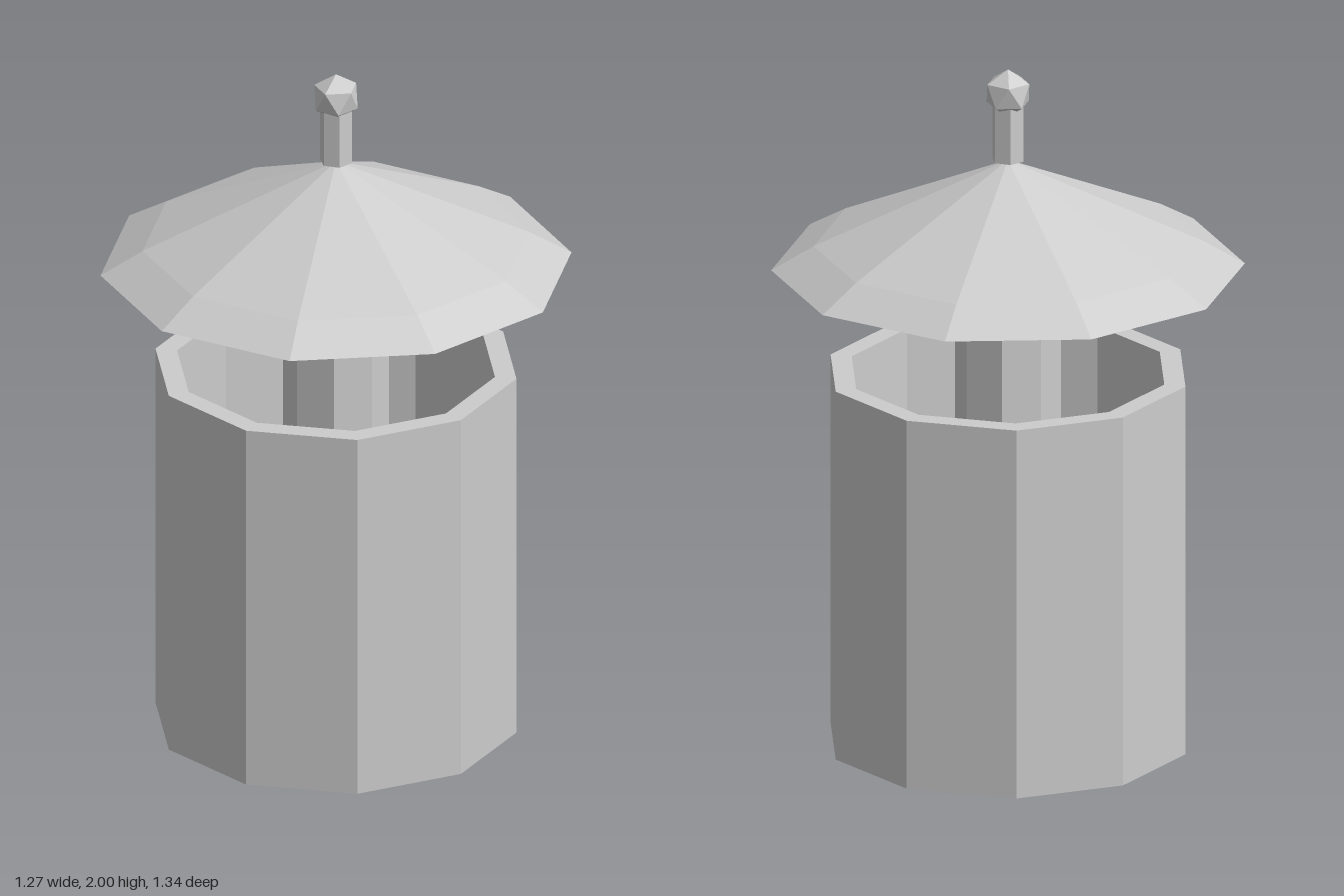
import * as THREE from 'three';

export function createModel() {
  const model = new THREE.Group();
  const grey = new THREE.MeshStandardMaterial({ color: 0xcccccc, flatShading: true });
  grey.name = 'light grey';

  const add = (name, geometry, y = 0) => {
    const mesh = new THREE.Mesh(geometry, grey);
    mesh.name = name;
    mesh.position.y = y;
    model.add(mesh);
  };
  // Faceted solid of revolution from [radius, height] pairs
  const turn = (profile, sides, start = 0) =>
    new THREE.LatheGeometry(profile.map(([r, y]) => new THREE.Vector2(r, y)), sides, start);
  const column = (radius, bottom, top, sides) =>
    new THREE.CylinderGeometry(radius, radius, top - bottom, sides).translate(0, (bottom + top) / 2, 0);

  // Open ten-sided sleeve with a thick wall, corners on the x axis
  add('sleeve', turn([[0.52, 0], [0.52, 1.1], [0.458, 1.1], [0.458, 0], [0.52, 0]], 10, Math.PI / 2));

  // Octagonal core running through the sleeve up to the roof
  add('core', column(0.15, 0, 1.41, 8));

  // Ten-sided roof with a steeper eave and a flat underside, corners on the z axis
  add('roof', turn([[0, 1.41], [0.67, 1.41], [0.55, 1.48], [0, 1.73]], 10));

  // Hexagonal finial post
  add('finialPost', column(0.047, 1.73, 1.9, 6));

  // Finial ball, turned so one corner points straight up
  const ball = new THREE.IcosahedronGeometry(0.07, 0);
  ball.rotateZ(-Math.atan(2 / (1 + Math.sqrt(5))));
  add('finialBall', ball, 1.93);

  return model;
}
